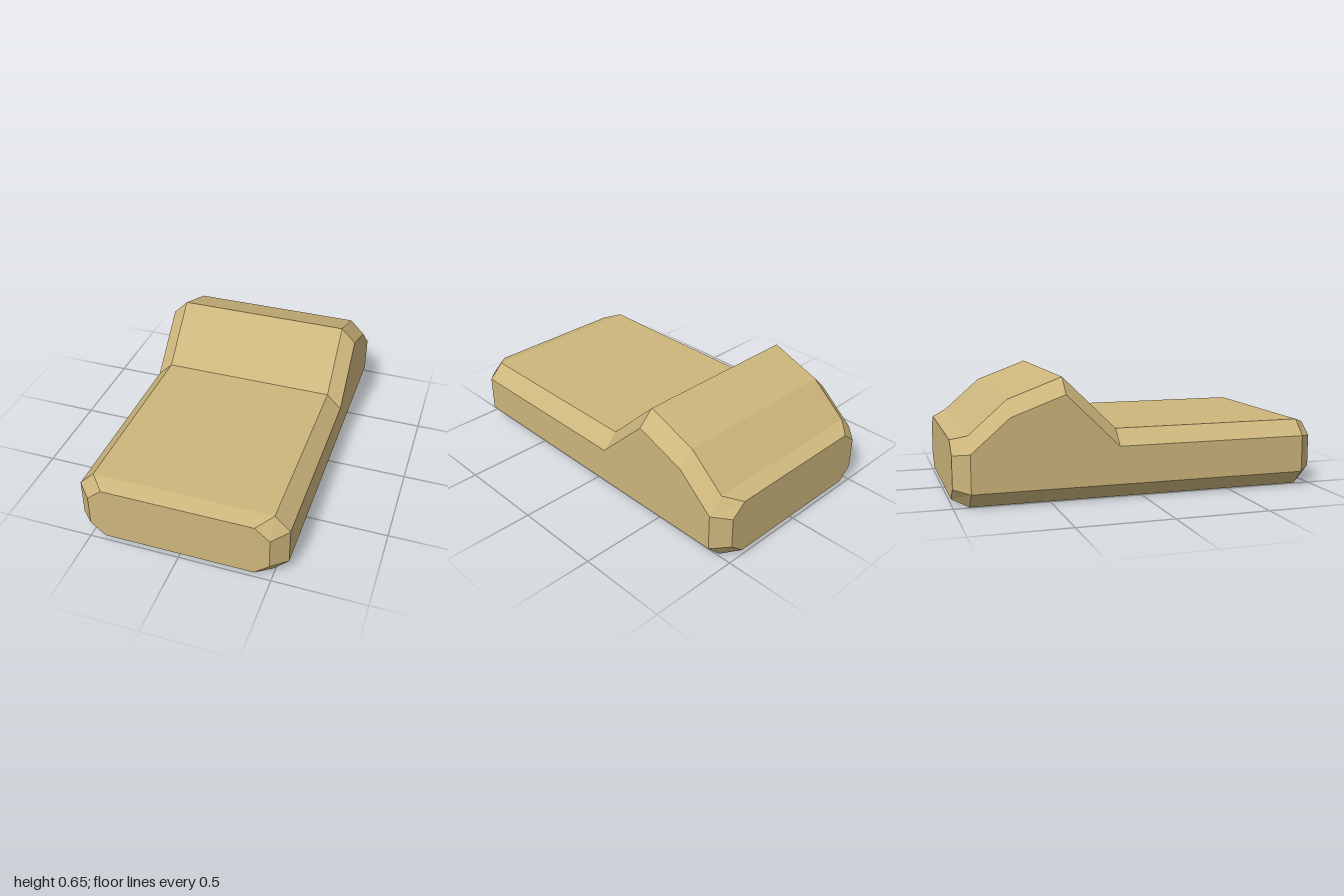
import * as THREE from 'three';

// Chamfered rectangle, counter-clockwise seen from the front
function section({ z, w, innerW, bottom, lower, upper, top }) {
  return [
    [innerW, bottom], [w, lower], [w, upper], [innerW, top],
    [-innerW, top], [-w, upper], [-w, lower], [-innerW, bottom],
  ].map(([x, y]) => [x, y, z]);
}

// Joins the sections from front to back and closes both ends
function loft(sections) {
  const points = [];
  const tri = (a, b, c) => points.push(...a, ...b, ...c);
  const n = sections[0].length;
  for (let s = 0; s < sections.length - 1; s++) {
    const a = sections[s], b = sections[s + 1];
    for (let i = 0; i < n; i++) {
      const j = (i + 1) % n;
      tri(a[i], b[i], b[j]);
      tri(a[i], b[j], a[j]);
    }
  }
  const front = sections[0], back = sections[sections.length - 1];
  for (let i = 1; i < n - 1; i++) {
    tri(front[0], front[i], front[i + 1]);
    tri(back[0], back[i + 1], back[i]);
  }
  const geometry = new THREE.BufferGeometry();
  geometry.setAttribute('position', new THREE.Float32BufferAttribute(points, 3));
  geometry.computeVertexNormals();
  return geometry;
}

export function createModel() {
  const group = new THREE.Group();
  group.name = 'cushionedLounger';

  const end = (z) => section({ z, w: 0.49, innerW: 0.41, bottom: 0.03, lower: 0.098, upper: 0.27, top: 0.338 });
  const body = (z, top) => section({ z, w: 0.57, innerW: 0.488, bottom: 0, lower: 0.083, upper: top - 0.082, top });

  // Flat pad in front, raised hump behind
  const sections = [
    end(1),
    body(0.917, 0.367),
    body(-0.143, 0.367),
    body(-0.43, 0.648),
    body(-0.715, 0.543),
    body(-0.917, 0.367),
    end(-1),
  ];
  const material = new THREE.MeshStandardMaterial({ color: 0xcdb67c, flatShading: true });
  const mesh = new THREE.Mesh(loft(sections), material);
  mesh.name = 'chamferedBody';
  group.add(mesh);
  return group;
}
